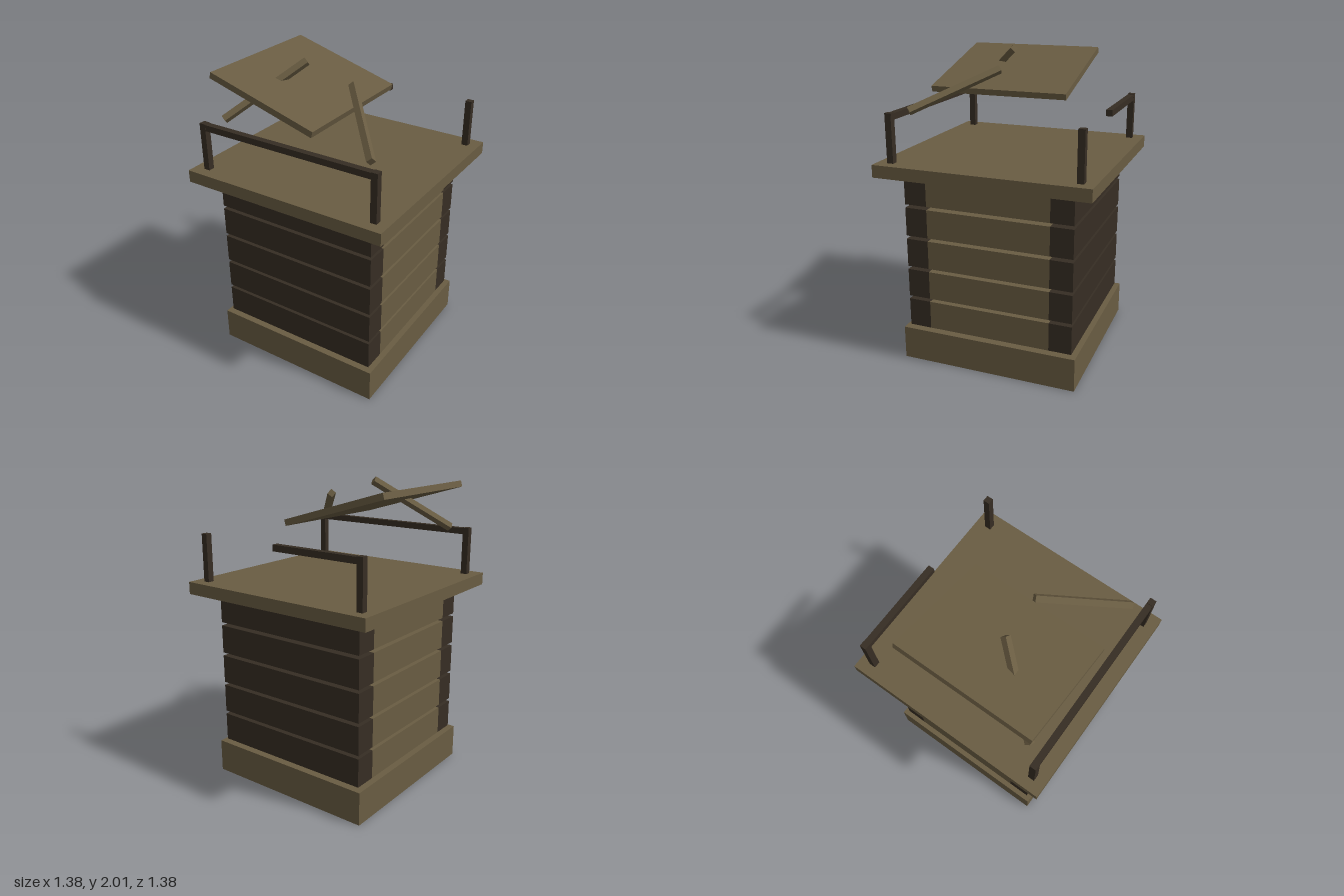
import * as THREE from 'three';

export function createModel() {
  const model = new THREE.Group();
  model.name = 'watchtower';

  const paleWood = new THREE.MeshStandardMaterial({ color: 0x695c42 });
  paleWood.name = 'paleWood';
  const darkWood = new THREE.MeshStandardMaterial({ color: 0x362d23 });
  darkWood.name = 'darkWood';

  function box(name, material, size, position) {
    const mesh = new THREE.Mesh(new THREE.BoxGeometry(...size), material);
    mesh.name = name;
    mesh.position.set(...position);
    model.add(mesh);
    return mesh;
  }

  // Square beam running between two points
  function beam(name, material, from, to, thickness) {
    const a = new THREE.Vector3(...from);
    const b = new THREE.Vector3(...to);
    const dir = b.clone().sub(a);
    const middle = a.add(b).multiplyScalar(0.5).toArray();
    const mesh = box(name, material, [thickness, dir.length(), thickness], middle);
    mesh.quaternion.setFromUnitVectors(new THREE.Vector3(0, 1, 0), dir.normalize());
  }

  // Foundation
  box('base', paleWood, [1.175, 0.22, 1.175], [0, 0.11, 0]);

  // Five stacked courses: dark beams front and back, pale beams between them
  for (let i = 0; i < 5; i++) {
    const y = 0.326 + i * 0.21;
    for (const s of [-1, 1]) {
      box('wallBeam', darkWood, [1.11, 0.188, 0.148], [0, y, s * 0.481]);
      box('sideBeam', paleWood, [0.148, 0.188, 0.814], [s * 0.481, y, 0]);
    }
  }

  // Platform
  box('deck', paleWood, [1.385, 0.08, 1.385], [0, 1.31, 0]);

  // Corner posts
  for (const x of [-0.603, 0.603]) {
    for (const z of [-0.603, 0.603]) {
      box('post', darkWood, [0.042, 0.312, 0.042], [x, 1.504, z]);
    }
  }

  // Whole front rail and broken back rail
  box('frontRail', darkWood, [1.24, 0.04, 0.041], [0, 1.636, 0.602]);
  box('brokenRail', darkWood, [0.645, 0.04, 0.041], [-0.3, 1.636, -0.603]);

  // Tilted roof panel
  const roof = box('roofPanel', paleWood, [0.756, 0.04, 0.912], [-0.21, 1.845, 0.093]);
  roof.rotation.z = -0.283;

  // Loose roof struts
  beam('leftStrut', paleWood, [0.52, 1.66, 0.517], [0.128, 1.884, 0.078], 0.04);
  beam('rightStrut', paleWood, [-0.523, 1.667, 0.512], [-0.185, 1.982, 0.105], 0.04);

  return model;
}
